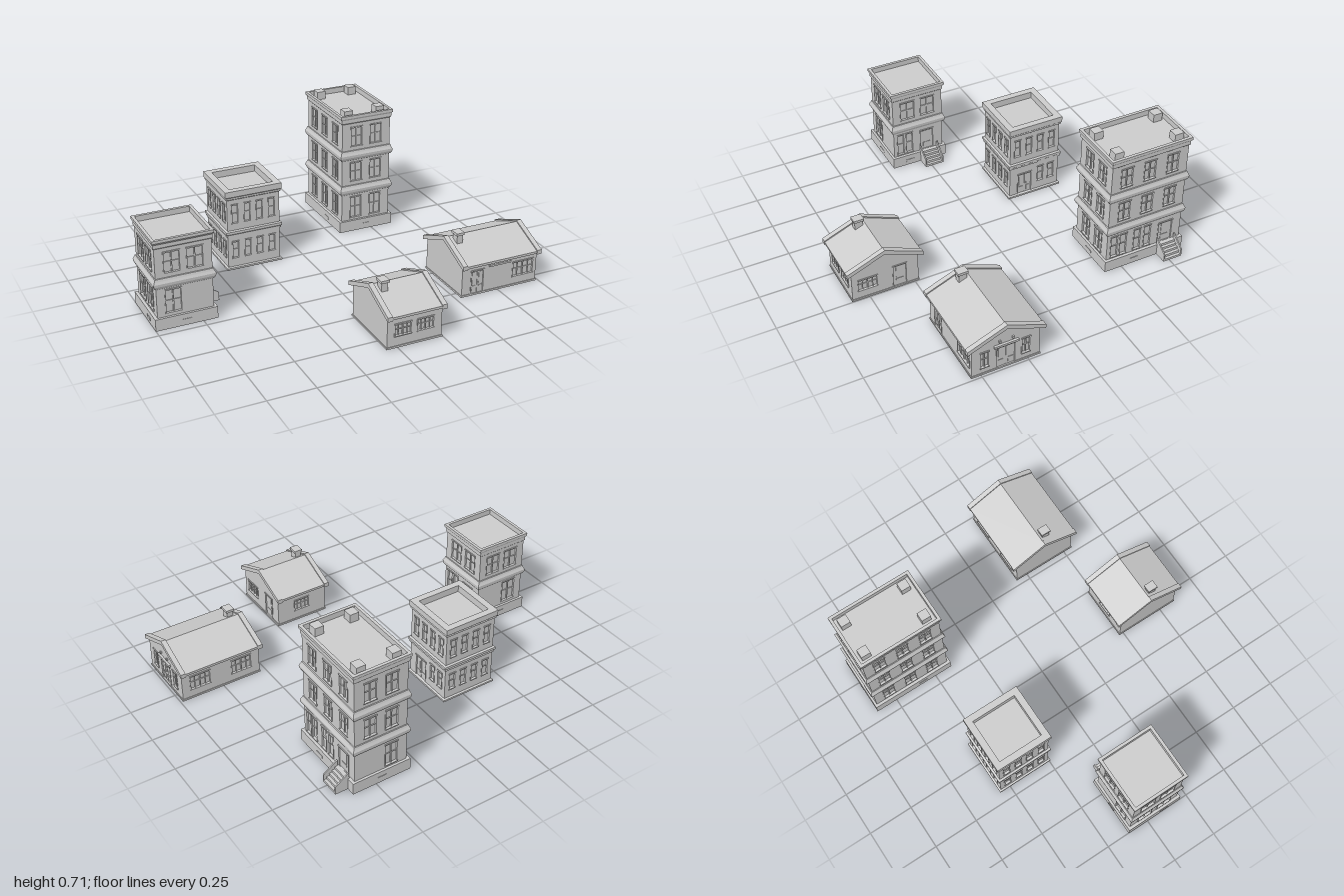
import * as THREE from 'three';

const mat = new THREE.MeshStandardMaterial({ color: 0xcccccc, flatShading: true, side: THREE.DoubleSide });
const T = 0.008; // depth of window and door reveals

function add(parent, name, geo, x = 0, y = 0, z = 0) {
  const m = new THREE.Mesh(geo, mat);
  m.name = name;
  m.position.set(x, y, z);
  parent.add(m);
  return m;
}

// Box standing on y
const box = (parent, name, w, h, d, x, y, z) =>
  add(parent, name, new THREE.BoxGeometry(w, h, d), x, y + h / 2, z);

const polygon = pts => new THREE.Shape(pts.map(p => new THREE.Vector2(...p)));
const rect = (x, y, w, h) => [[x - w / 2, y], [x + w / 2, y], [x + w / 2, y + h], [x - w / 2, y + h]];
const extrude = (shape, depth) => new THREE.ExtrudeGeometry(shape, { depth, bevelEnabled: false });

// Sweeps a profile of [outward offset, height] around a rectangular plan
function moulding(parent, name, w, d, profile) {
  const pos = [];
  const ring = ([o, y]) => [[1, 1], [1, -1], [-1, -1], [-1, 1]].map(([a, b]) => [a * (w / 2 + o), y, b * (d / 2 + o)]);
  for (let i = 0; i < profile.length - 1; i++) {
    const a = ring(profile[i]), b = ring(profile[i + 1]);
    for (let k = 0; k < 4; k++) {
      const n = (k + 1) % 4;
      pos.push(...a[k], ...a[n], ...b[n], ...a[k], ...b[n], ...b[k]);
    }
  }
  const g = new THREE.BufferGeometry();
  g.setAttribute('position', new THREE.Float32BufferAttribute(pos, 3));
  g.computeVertexNormals();
  return add(parent, name, g);
}

// Openings: u = centre along the wall, y = bottom
const win = (u, y, w, h, cols = 2) => ({ u, y, w, h, cols });
const door = (u, y, w, h, leaves = 1) => ({ u, y, w, h, leaves });

// Wall panel with real openings; angle turns it from the front (+z) side
function wall(parent, name, angle, dist, outline, openings) {
  const g = new THREE.Group();
  g.name = name;
  g.rotation.y = angle;
  parent.add(g);
  const shape = polygon(outline);
  for (const o of openings) shape.holes.push(new THREE.Path(polygon(rect(o.u, o.y, o.w, o.h)).getPoints().reverse()));
  add(g, name + 'Panel', extrude(shape, T), 0, 0, dist - T);
  for (const { u, y, w, h, cols, leaves } of openings) {
    const bar = 0.005, z = dist - T / 2 + 0.001;
    for (const s of [-1, 1]) box(g, 'frameSide', bar, h, T + 0.002, u + s * (w - bar) / 2, y, z);
    box(g, 'lintel', w, bar * 1.4, T + 0.006, u, y + h - bar * 1.4, z + 0.001);
    if (leaves) {
      // Door leaves with raised panels
      const lw = w / leaves;
      for (let i = 0; i < leaves; i++) {
        const x = u + (i + 0.5) * lw - w / 2;
        box(g, 'doorLeaf', lw - 0.004, h - 0.006, 0.003, x, y, dist - T + 0.0015);
        box(g, 'doorPanel', lw * 0.5, h * 0.5, 0.003, x, y + h * 0.4, dist - T + 0.004);
        box(g, 'doorPanel', lw * 0.5, h * 0.22, 0.003, x, y + h * 0.1, dist - T + 0.004);
      }
    } else {
      box(g, 'sill', w, bar, T + 0.006, u, y, z + 0.001);
      for (let i = 1; i < cols; i++)
        box(g, 'mullion', i * 2 === cols ? 0.006 : 0.003, h, 0.006, u - w / 2 + w * i / cols, y, dist - T + 0.003);
      box(g, 'sashRail', w, 0.003, 0.005, u, y + h * 0.5, dist - T + 0.0025);
    }
  }
  return g;
}

// Four walls around a core; sides are ordered front, right, back, left
function walls(parent, w, d, y0, y1, sides) {
  box(parent, 'core', w - 2 * T, y1 - y0, d - 2 * T, 0, y0, 0);
  ['frontWall', 'rightWall', 'backWall', 'leftWall'].forEach((name, i) => {
    const [len, dist] = i % 2 ? [d, w / 2] : [w, d / 2];
    wall(parent, name, i * Math.PI / 2, dist, rect(0, y0, len, y1 - y0), sides[i]);
  });
}

// Entrance steps rising toward the wall, between sloping cheeks
function stairs(parent, x, z, width) {
  const g = new THREE.Group();
  g.name = 'entranceStairs';
  g.position.set(x, 0, z);
  parent.add(g);
  const run = 0.078, n = 5;
  for (let i = 0; i < n; i++)
    box(g, 'step', run * (n - i) / n, 0.013, width - 0.01, run * (n - i) / n / 2, i * 0.013, 0);
  const cheek = extrude(polygon([[0, 0], [run, 0], [run, 0.045], [0, 0.1]]), 0.007);
  for (const s of [-1, 1]) add(g, 'stairCheek', cheek, 0, 0, s * (width / 2 - 0.0035) - 0.0035);
}

// Town house: plinth, bulging floor bands, flared parapet and sunken roof
function townHouse(name, x, z, w, d, top, bands, sides, stairZ) {
  const g = new THREE.Group();
  g.name = name;
  g.position.set(x, 0, z);
  walls(g, w, d, 0.06, top - 0.03, sides);
  box(g, 'plinth', w + 0.032, 0.064, d + 0.026, 0, 0, 0);
  for (const b of bands)
    moulding(g, 'floorBand', w, d, [[0, b - 0.028], [0.006, b - 0.024], [0.013, b - 0.01], [0.014, b + 0.004], [0.008, b + 0.016], [0.004, b + 0.028], [0, b + 0.03]]);
  moulding(g, 'parapet', w, d, [[0, top - 0.05], [0.005, top - 0.045], [0.005, top - 0.025], [0.012, top - 0.015], [0.012, top], [-0.004, top], [-0.004, top - 0.03]]);
  for (const s of [-1, 1]) {
    box(g, 'plinthVent', 0.05, 0.014, 0.005, 0, 0.022, s * (d / 2 + 0.013));
    box(g, 'plinthVent', 0.005, 0.014, 0.05, s * (w / 2 + 0.016), 0.022, 0.06);
  }
  stairs(g, w / 2 + 0.008, stairZ, 0.11);
  return g;
}

// Square shop block with rows of narrow windows
function shopBlock() {
  const g = new THREE.Group();
  g.name = 'shopBlock';
  g.position.set(-0.285, 0, -0.4025);
  const row = (y, h, us = [-0.105, -0.035, 0.035, 0.105]) => us.map(u => win(u, y, 0.042, h, 1));
  const plain = [...row(0.06, 0.105), ...row(0.265, 0.115)];
  const shop = [door(-0.058, 0.012, 0.09, 0.135, 2), ...row(0.06, 0.105, [0.04, 0.105]), ...row(0.265, 0.115)];
  walls(g, 0.3, 0.3, 0, 0.42, [plain, shop, plain, plain]);
  moulding(g, 'footing', 0.3, 0.3, [[0.01, 0], [0.01, 0.01], [0, 0.014]]);
  moulding(g, 'floorBand', 0.3, 0.3, [[0, 0.192], [0.006, 0.195], [0.006, 0.205], [0.011, 0.21], [0.011, 0.224], [0, 0.228]]);
  moulding(g, 'parapet', 0.3, 0.3, [[0, 0.405], [0.006, 0.41], [0.006, 0.42], [0.011, 0.425], [0.011, 0.457], [-0.025, 0.457], [-0.025, 0.42]]);
  return g;
}

// Cottage with a gable at each x end
function cottage(name, x, z, w, roofW, chimneyX, sides) {
  const g = new THREE.Group();
  g.name = name;
  g.position.set(x, 0, z);
  const hd = 0.182, eave = 0.183, peak = 0.257;
  const gable = k => [[-k, 0], [k, 0], [k, eave], [0, peak], [-k, eave]];
  const core = add(g, 'core', extrude(polygon(gable(hd - T)), w - 2 * T), -w / 2 + T, 0, 0);
  core.rotation.y = Math.PI / 2;
  ['frontWall', 'rightGable', 'backWall', 'leftGable'].forEach((n, i) =>
    wall(g, n, i * Math.PI / 2, i % 2 ? w / 2 : hd, i % 2 ? gable(hd) : rect(0, 0, w, eave), sides[i]));
  moulding(g, 'footing', w, hd * 2, [[0.004, 0], [0.004, 0.01], [0, 0.01]]);
  // Roof and verge boards are chevrons extruded along x
  const chevron = (n, top, thick, half, len, cx) => {
    const e = top - 0.085 * half / 0.207;
    const pts = [[-half, e], [-half, e - thick], [0, top - thick], [half, e - thick], [half, e], [0, top]];
    add(g, n, extrude(polygon(pts), len), cx - len / 2, 0, 0).rotation.y = Math.PI / 2;
  };
  chevron('roof', 0.268, 0.013, 0.206, roofW - 0.04, 0);
  for (const s of [-1, 1]) chevron('vergeBoard', 0.275, 0.024, 0.208, 0.027, s * (roofW / 2 - 0.0135));
  box(g, 'chimney', 0.034, 0.09, 0.044, chimneyX, 0.205, 0.035);
  box(g, 'chimneyCap', 0.046, 0.014, 0.056, chimneyX, 0.291, 0.035);
  return g;
}

export function createModel() {
  const model = new THREE.Group();
  model.name = 'townBuildings';
  const pair = (us, y, w) => us.map(u => win(u, y, w, 0.12));

  // Two-storey town house
  const up = pair([-0.06, 0.06], 0.3, 0.09);
  const low = win(-0.06, 0.08, 0.09, 0.135), lowBack = win(0.06, 0.08, 0.09, 0.135);
  const entrance = [win(-0.108, 0.07, 0.046, 0.14, 1), win(-0.054, 0.07, 0.046, 0.14, 1), door(0.053, 0.066, 0.085, 0.135)];
  model.add(townHouse('smallTownHouse', -0.837, 0.043, 0.296, 0.3, 0.49, [0.25],
    [[low, ...up], [...entrance, ...up], [lowBack, ...up], [low, lowBack, ...up]], -0.06));

  // Three-storey town house
  const ends = [...pair([-0.06, 0.06], 0.51, 0.075), ...pair([-0.06, 0.06], 0.3, 0.075)];
  const long = [0.51, 0.3].flatMap(y => pair([-0.135, 0, 0.135], y, 0.073));
  const shopfront = [-0.18, -0.126, -0.042, 0.02].map(u => win(u, 0.07, 0.046, 0.14, 1));
  const g1 = win(-0.06, 0.075, 0.075, 0.135), g2 = win(0.06, 0.075, 0.075, 0.135);
  const tall = townHouse('tallTownHouse', 0.467, -0.635, 0.296, 0.446, 0.7, [0.25, 0.46],
    [[g1, g2, ...ends], [...shopfront, door(0.13, 0.066, 0.09, 0.13), ...long], [g2, ...ends],
      [...[-0.135, 0, 0.135].map(u => win(u, 0.08, 0.073, 0.13)), ...long]], -0.135);
  for (const x of [-0.097, 0.097]) for (const z of [-0.178, 0.172])
    box(tall, 'roofStack', 0.05, 0.05, 0.052, x, 0.665, z);
  model.add(tall);

  model.add(shopBlock());

  // Small cottage
  const cw = u => win(u, 0.06, 0.096, 0.072, 4);
  model.add(cottage('smallCottage', 0.0935, 0.66, 0.3, 0.325, -0.101,
    [[cw(-0.064), cw(0.06)], [win(-0.095, 0.052, 0.11, 0.076, 4), door(0.08, 0.008, 0.08, 0.138)], [cw(0)], []]));

  // Long cottage with a double-door entrance in its gable
  const long2 = cottage('longCottage', 0.759, 0.367, 0.45, 0.474, -0.172,
    [[door(-0.134, 0.008, 0.08, 0.135, 2), win(0.143, 0.05, 0.13, 0.09, 4)],
      [door(0, 0.008, 0.105, 0.135, 2), win(-0.113, 0.04, 0.05, 0.105), win(0.107, 0.04, 0.05, 0.105)],
      [win(-0.12, 0.05, 0.12, 0.09, 4), win(0.12, 0.05, 0.12, 0.09, 4)], []]);
  box(long2, 'frontHood', 0.13, 0.01, 0.012, -0.003, 0.146, 0.186);
  box(long2, 'entranceHood', 0.014, 0.012, 0.13, 0.23, 0.146, 0);
  for (const z of [-0.035, 0.035]) box(long2, 'entranceLamp', 0.01, 0.012, 0.01, 0.229, 0.172, z);
  model.add(long2);

  return model;
}
